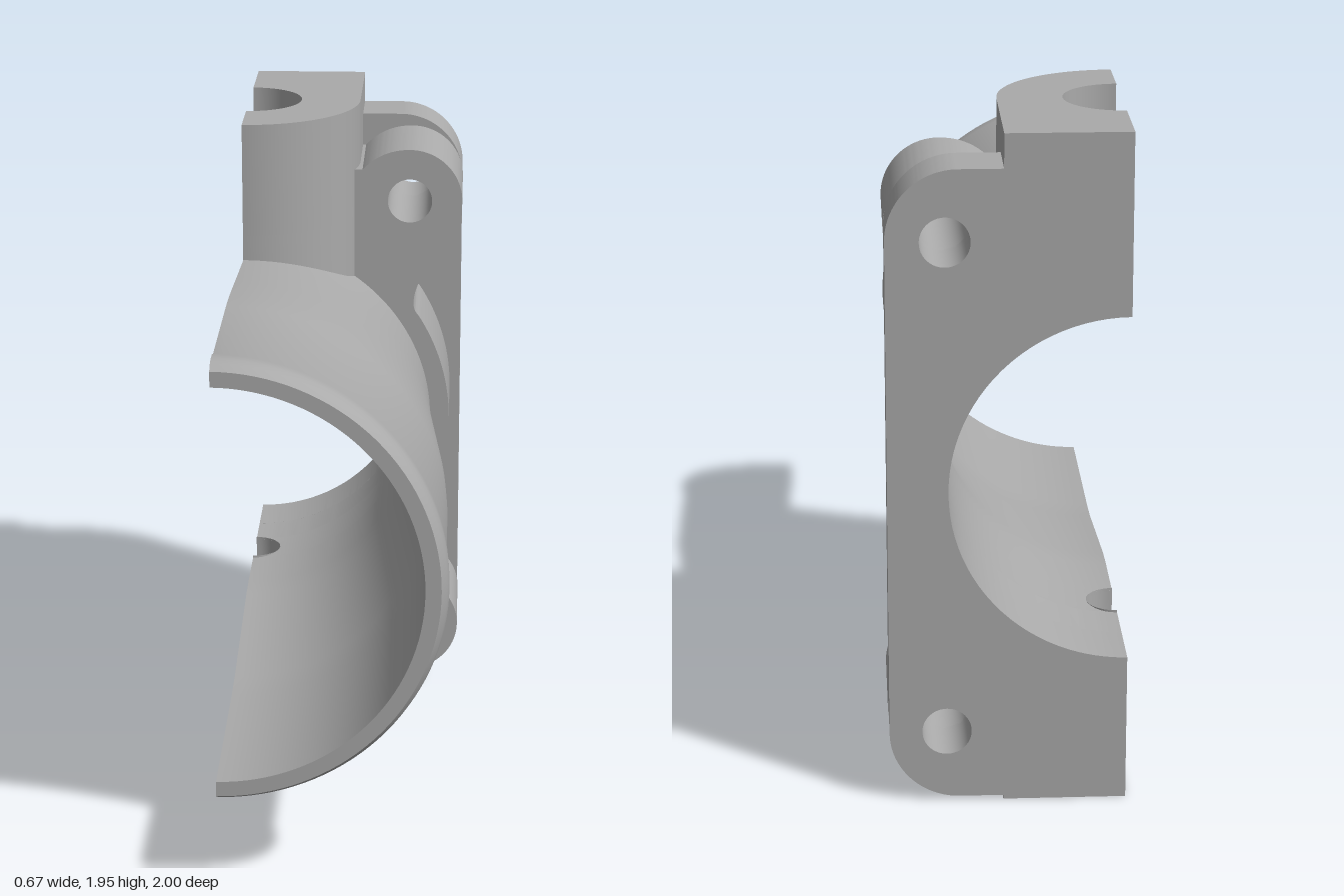
import * as THREE from 'three';
import { toCreasedNormals } from 'three/addons/utils/BufferGeometryUtils.js';

// Local frame: the bore axis is x = 0, y = 0, and the part is cut along x = 0.
const BORE = 0.503, WALL = 0.58, HOLE = 0.085, HOLE_Z = -0.59;

export function createModel() {
  const group = new THREE.Group();
  const metal = new THREE.MeshStandardMaterial({ color: 0xaaaaaa, side: THREE.DoubleSide });
  metal.name = 'cast metal grey';

  const add = (name, geometry, crease = 0.6) => {
    const mesh = new THREE.Mesh(toCreasedNormals(geometry, crease), metal);
    mesh.name = name;
    group.add(mesh);
    return mesh;
  };
  const extrude = (shape, depth) =>
    new THREE.ExtrudeGeometry(shape, { depth, bevelEnabled: false, curveSegments: 24 });

  // Half tube: closed wall profile turned through 180 degrees, opened around the cross hole
  const holeZ = Array.from({ length: 13 }, (_, i) => HOLE_Z - HOLE * Math.cos(Math.PI * i / 12));
  const outer = [[-0.45, WALL], [-0.2, 0.595], [0.1, 0.622], [0.3, 0.64], [0.42, 0.645], [0.88, 0.645],
    [0.905, 0.655], [0.95, 0.656], [0.975, 0.65], [1, 0.635]];
  const inner = [[1, 0.59], [0.42, 0.582], [0.3, 0.575], [-0.2, 0.507], [-0.3, BORE]];
  const profile = [[-1, WALL], ...holeZ.map(z => [z, WALL]), ...outer, ...inner,
    ...holeZ.slice().reverse().map(z => [z, BORE]), [-1, BORE], [-1, WALL]];
  const tube = new THREE.LatheGeometry(profile.map(([z, r]) => new THREE.Vector2(r, z)), 64, 0, Math.PI);
  const p = tube.attributes.position;
  for (let i = 0; i < p.count; i++) {
    const r = Math.hypot(p.getX(i), p.getZ(i)), phi = Math.atan2(p.getX(i), p.getZ(i));
    const gap = Math.asin(Math.sqrt(Math.max(0, HOLE ** 2 - (p.getY(i) - HOLE_Z) ** 2)) / r);
    const a = gap + phi * (1 - 2 * gap / Math.PI);
    p.setX(i, r * Math.sin(a));
    p.setZ(i, r * Math.cos(a));
  }
  tube.rotateX(Math.PI / 2);
  add('halfTube', tube);

  // Flat cut faces of the tube wall, above and below, either side of the cross hole
  const front = [[HOLE_Z + HOLE, WALL], ...outer, ...inner, [HOLE_Z + HOLE, BORE]];
  const back = [[-1, WALL], [HOLE_Z - HOLE, WALL], [HOLE_Z - HOLE, BORE], [-1, BORE]];
  for (const side of [1, -1]) {
    for (const outline of [front, back]) {
      const shape = new THREE.Shape(outline.map(([z, r]) => new THREE.Vector2(z, r * side)));
      add('tubeCutFace', new THREE.ShapeGeometry(shape).rotateY(-Math.PI / 2));
    }
    const lining = new THREE.CylinderGeometry(HOLE, HOLE, 0.08, 16, 1, true, 0, Math.PI);
    add('crossHoleLining', lining.translate(0, side * 0.536, HOLE_Z));
  }

  // Shaft boss: D-shaped tiers with a half-round hole; the inner end follows the tube
  const bossTier = (name, y0, y1, hole) => {
    const s = new THREE.Shape();
    s.moveTo(0, 1);
    s.lineTo(0.35, 1);
    s.lineTo(0.35, -HOLE_Z);
    s.absarc(0, -HOLE_Z, 0.35, 0, -Math.PI / 2, true);
    s.lineTo(0, -HOLE_Z - hole);
    s.absarc(0, -HOLE_Z, hole, -Math.PI / 2, Math.PI / 2, false);
    const g = extrude(s, y1 - y0).rotateX(-Math.PI / 2).translate(0, y0, 0);
    const v = g.attributes.position;
    for (let i = 0; i < v.count; i++) {
      if (Math.abs(Math.abs(v.getY(i)) - 0.54) < 1e-4) {
        v.setY(i, Math.sign(v.getY(i)) * Math.sqrt(0.54 ** 2 - v.getX(i) ** 2));
      }
    }
    add(name, g);
  };
  bossTier('upperBossCounterbore', 0.67, 1.02, 0.165);
  bossTier('upperBossBase', 0.54, 0.67, HOLE);
  bossTier('lowerBossBase', -0.735, -0.54, HOLE);
  bossTier('lowerBossRim', -0.935, -0.735, 0.23);

  // Bearing ring standing inside the lower boss recess
  const ring = new THREE.Shape();
  ring.absarc(0, -HOLE_Z, 0.16, -Math.PI / 2, Math.PI / 2, false);
  ring.lineTo(0, -HOLE_Z + HOLE);
  ring.absarc(0, -HOLE_Z, HOLE, Math.PI / 2, -Math.PI / 2, true);
  add('bearingRing', extrude(ring, 0.2).rotateX(-Math.PI / 2).translate(0, -0.935, 0));

  // Bolt holes shared by flange and ears
  const BX = 0.51, BY = 0.72;
  const drill = shape => {
    for (const side of [1, -1]) {
      shape.holes.push(new THREE.Path().absarc(BX, side * BY, 0.07, 0, Math.PI * 2, true));
    }
  };

  // Mounting flange: rounded plate with the half bore cut out
  const plate = new THREE.Shape();
  const R = 0.2, W = 0.673, H = 0.923;
  plate.moveTo(0, -H);
  plate.lineTo(W - R, -H);
  plate.absarc(W - R, -H + R, R, -Math.PI / 2, 0, false);
  plate.lineTo(W, H - R);
  plate.absarc(W - R, H - R, R, 0, Math.PI / 2, false);
  plate.lineTo(0, H);
  plate.lineTo(0, BORE);
  plate.absarc(0, 0, BORE, Math.PI / 2, -Math.PI / 2, true);
  drill(plate);
  add('mountingFlange', extrude(plate, 0.18).translate(0, 0, -1));

  // Bolt ears joined by a band hugging the tube
  const ears = new THREE.Shape();
  const E = 0.165, A = 0.62, N = 0.57;
  ears.moveTo(0.3, -0.82);
  ears.lineTo(0.36, -0.82);
  ears.quadraticCurveTo(0.42, -BY - E, BX, -BY - E);
  ears.absarc(BX, -BY, E, -Math.PI / 2, A, false);
  ears.quadraticCurveTo(0.48, -0.4, 0.64 * Math.cos(N), -0.64 * Math.sin(N));
  ears.absarc(0, 0, 0.64, -N, N, false);
  ears.quadraticCurveTo(0.48, 0.4, BX + E * Math.cos(A), BY - E * Math.sin(A));
  ears.absarc(BX, BY, E, -A, Math.PI / 2, false);
  ears.quadraticCurveTo(0.42, BY + E, 0.36, 0.82);
  ears.lineTo(0.3, 0.82);
  const inA = Math.acos(0.3 / 0.54);
  ears.absarc(0, 0, 0.54, inA, -inA, true);
  drill(ears);
  add('boltEars', extrude(ears, 0.34).translate(0, 0, -0.83));

  group.position.set(-0.337, 0.935, 0);
  const model = new THREE.Group();
  model.name = 'halfThrottleBody';
  group.name = 'castHousing';
  model.add(group);
  return model;
}
